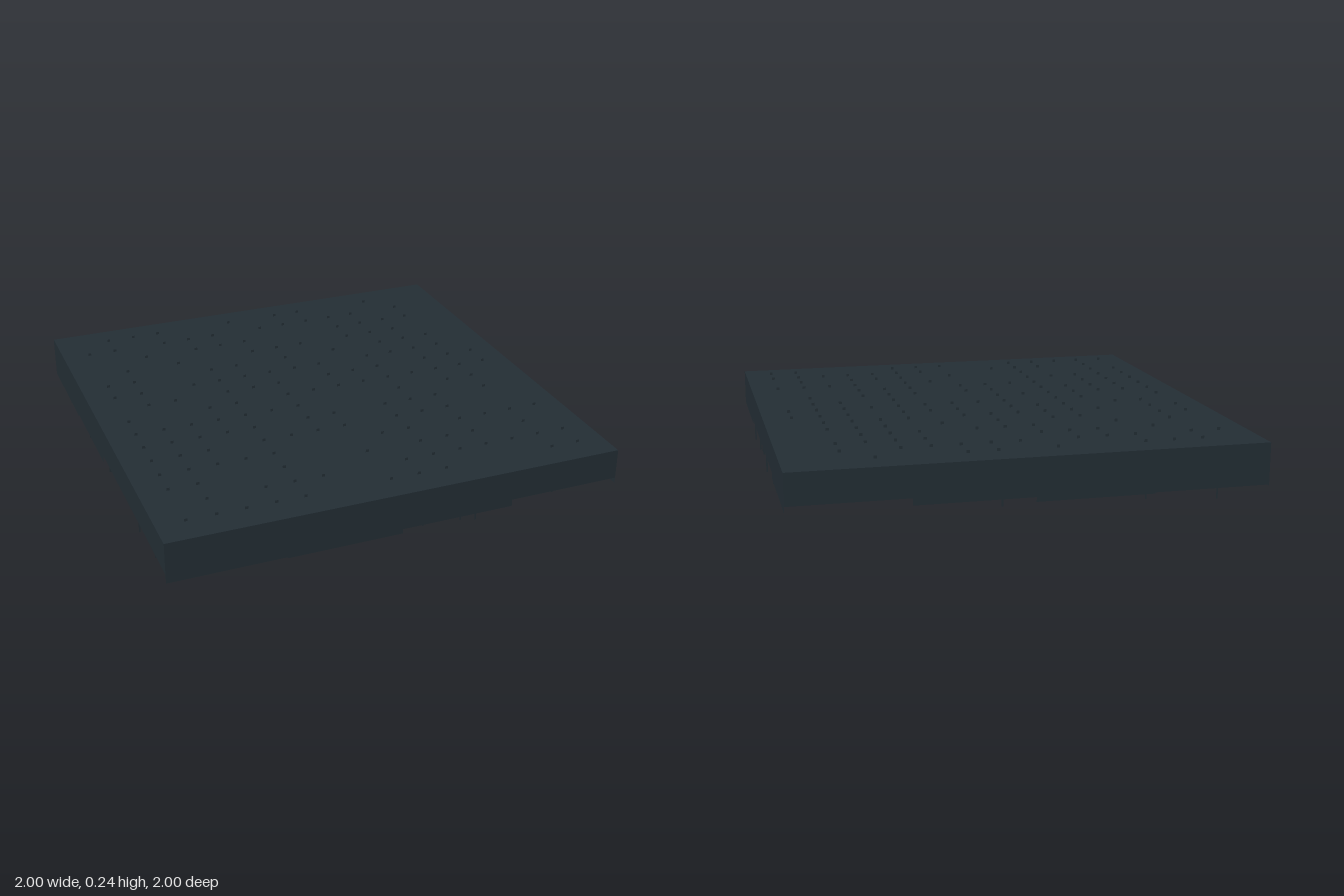
import * as THREE from 'three';

const TOP = 0.225;

export function createModel() {
  const model = new THREE.Group();
  const cloth = new THREE.MeshStandardMaterial({ color: 0x232e35, side: THREE.DoubleSide });

  // Upright rectangle facing z, given by its centre x, bottom and top
  const panel = (name, x, z, width, bottom, top, parent) => {
    const mesh = new THREE.Mesh(new THREE.PlaneGeometry(width, top - bottom), cloth);
    mesh.name = name;
    mesh.position.set(x, (top + bottom) / 2, z);
    parent.add(mesh);
    return mesh;
  };

  // Flat top sheet
  const sheet = new THREE.Mesh(new THREE.PlaneGeometry(2, 2), cloth);
  sheet.name = 'topSheet';
  sheet.rotation.x = -Math.PI / 2;
  sheet.position.y = TOP;
  model.add(sheet);

  // Hanging skirts: four lengths per side, listed from -x to +x or -z to +z
  const endHems = [0.045, 0.04, 0.06, 0.09];
  const rightHems = [0.065, 0.09, 0.085, 0.065];
  const leftHems = [0.04, 0.05, 0.085, 0.085];
  const skirts = new THREE.Group();
  skirts.name = 'skirts';
  model.add(skirts);
  for (let i = 0; i < 4; i++) {
    const c = -0.75 + i * 0.5;
    panel('frontSkirt', c, 1, 0.5, endHems[i], TOP, skirts);
    panel('backSkirt', c, -1, 0.5, endHems[i], TOP, skirts).rotation.y = Math.PI;
    panel('leftSkirt', 1, c, 0.5, rightHems[i], TOP, skirts).rotation.y = Math.PI / 2;
    panel('rightSkirt', -1, c, 0.5, leftHems[i], TOP, skirts).rotation.y = -Math.PI / 2;
  }

  // Loose threads: [position along the side, lower end]
  const threads = new THREE.Group();
  threads.name = 'threads';
  model.add(threads);
  const thread = (x, z, end) => panel('thread', x, z, 0.007, end, 0.16, threads);
  [[0.09, 0.055], [0.26, 0.045], [0.33, 0.03], [0.69, 0.085]].forEach(([x, y]) => thread(x, 0.999, y));
  [[-0.77, 0], [-0.46, 0.02], [0.14, 0.03]].forEach(([x, y]) => thread(x, -0.999, y));
  [[0.4, 0.01], [0.11, 0.035], [-0.04, 0.06], [-0.08, 0.06], [-0.21, 0.014], [-0.55, 0.055], [-0.7, 0.06]]
    .forEach(([z, y]) => thread(0.9965, z, y));
  [[-0.87, 0.035], [-0.67, 0.03], [-0.27, 0.04], [0.11, 0.06], [0.6, 0.04], [0.85, 0.07]]
    .forEach(([z, y]) => thread(-0.9965, z, y));

  // Small flat tufts scattered over a regular grid on the top
  let seed = 7;
  const random = () => (seed = (seed * 16807) % 2147483647) / 2147483647;
  const tufts = new THREE.Group();
  tufts.name = 'tufts';
  model.add(tufts);
  for (let i = -7; i <= 7; i++) {
    for (let j = -7; j <= 7; j++) {
      if (random() < 0.35) continue;
      panel('tuft', i * 0.125, j * 0.125, 0.014, TOP, TOP + 0.012, tufts);
    }
  }
  return model;
}
